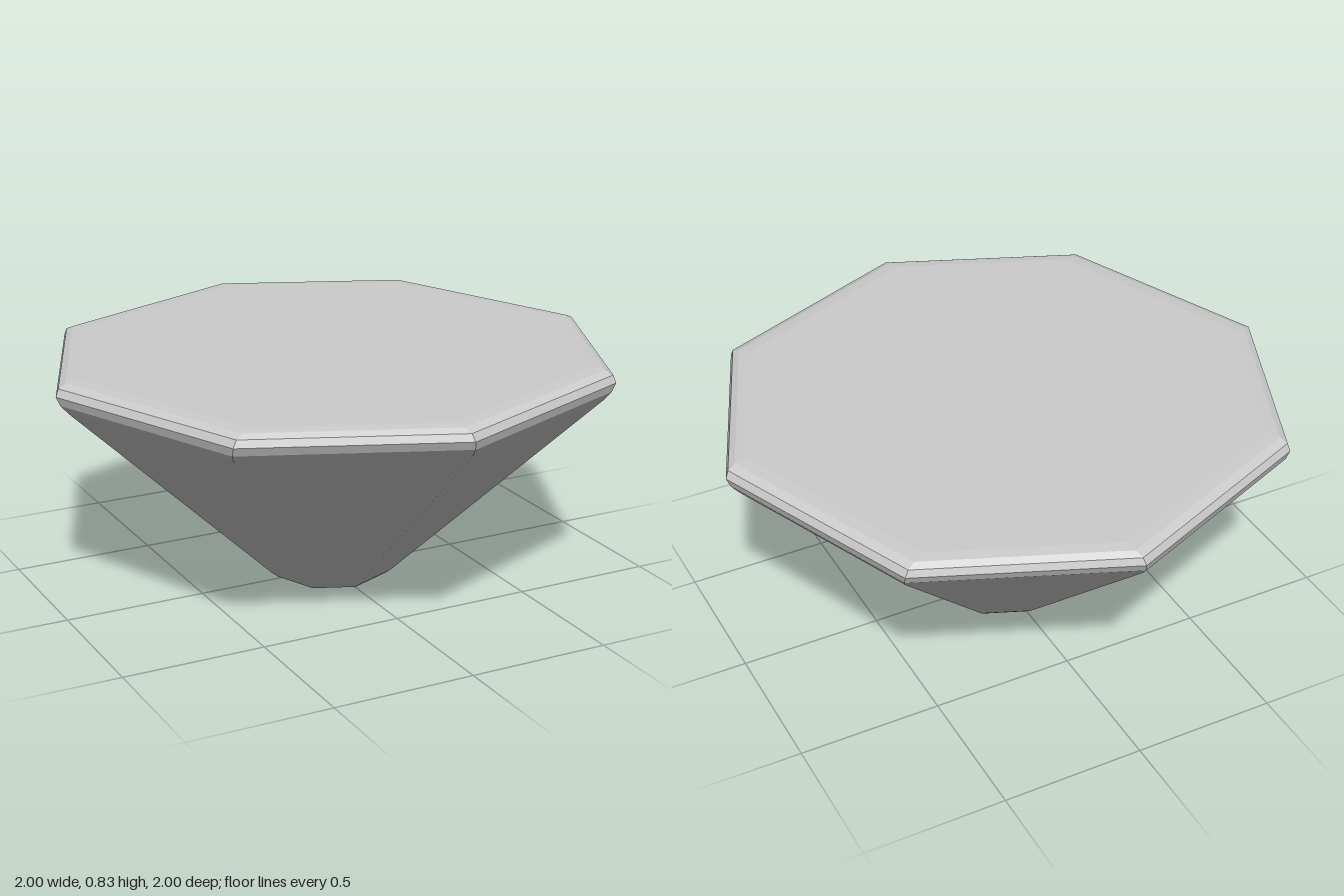
import * as THREE from 'three';

const SIDES = 8;

// Rings from the base to the top: radius, height, corner shift in degrees
const RINGS = [
  [0.175, 0, 1.5],
  [0.205, 0.005, 0.8],
  [0.23, 0.025, 0],
  [0.962, 0.73, 0],
  [0.988, 0.76, 0.3],
  [1.0, 0.79, 0.7],
  [0.988, 0.815, 1.1],
  [0.96, 0.828, 1.7],
  [0.915, 0.832, 2.3],
];

// Corners alternate their shift, so neighbouring corners slide opposite ways
function corner([r, y, shift], i) {
  const a = (i * Math.PI * 2) / SIDES + THREE.MathUtils.degToRad(i % 2 ? -shift : shift);
  return [r * Math.cos(a), y, r * Math.sin(a)];
}

// Bands of facets between consecutive rings, with optional end caps
function facets(rings, capBottom, capTop) {
  const pos = [];
  const tri = (a, b, c) => pos.push(...a, ...b, ...c);
  const first = rings[0], last = rings[rings.length - 1];
  for (let i = 0; i < SIDES; i++) {
    const j = (i + 1) % SIDES;
    for (let k = 0; k < rings.length - 1; k++) {
      const a = corner(rings[k], i), b = corner(rings[k], j);
      const c = corner(rings[k + 1], j), d = corner(rings[k + 1], i);
      tri(a, d, c);
      tri(a, c, b);
    }
    if (capBottom) tri([0, first[1], 0], corner(first, i), corner(first, j));
    if (capTop) tri([0, last[1], 0], corner(last, j), corner(last, i));
  }
  const geo = new THREE.BufferGeometry();
  geo.setAttribute('position', new THREE.Float32BufferAttribute(pos, 3));
  geo.computeVertexNormals();
  return geo;
}

export function createModel() {
  const group = new THREE.Group();
  const material = new THREE.MeshStandardMaterial({ color: 0xcccccc, flatShading: true });
  const add = (name, geo) => {
    const mesh = new THREE.Mesh(geo, material);
    mesh.name = name;
    group.add(mesh);
  };

  // Tapered body with its small bevelled foot
  add('taperedBody', facets(RINGS.slice(0, 4), true, false));
  // Rounded rim closed by the flat top
  add('bevelledTop', facets(RINGS.slice(3), false, true));

  return group;
}
